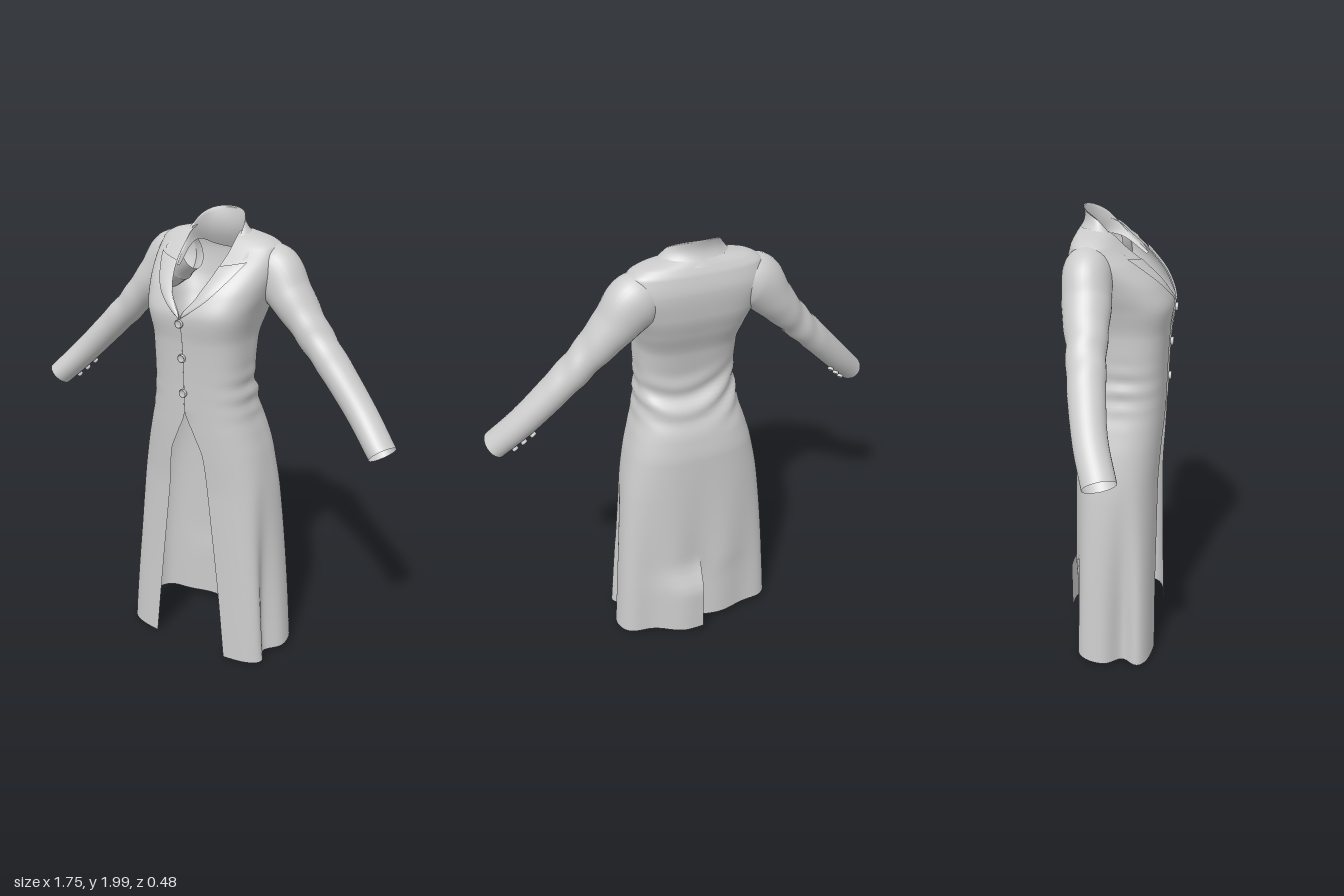
import * as THREE from 'three';
import { mergeVertices } from 'three/addons/utils/BufferGeometryUtils.js';

const cloth = new THREE.MeshStandardMaterial({ color: 0xcccccc, roughness: 0.85, side: THREE.DoubleSide });
const { sin, cos, abs, exp, PI } = Math;
const smooth = THREE.MathUtils.smoothstep;

// Monotone cubic through rows [key, v1, v2, ...]; returns column c at key k.
function sample(rows, c, k) {
  const n = rows.length - 1;
  k = Math.min(Math.max(k, rows[0][0]), rows[n][0]);
  let i = 0;
  while (i < n - 1 && k > rows[i + 1][0]) i++;
  const slope = (j) => (rows[j + 1][c] - rows[j][c]) / (rows[j + 1][0] - rows[j][0]);
  const tangent = (j) => {
    if (j === 0) return slope(0);
    if (j === n) return slope(n - 1);
    const a = slope(j - 1), b = slope(j);
    return a * b <= 0 ? 0 : (2 * a * b) / (a + b);
  };
  const h = rows[i + 1][0] - rows[i][0], t = (k - rows[i][0]) / h, t2 = t * t, t3 = t2 * t;
  return rows[i][c] * (2 * t3 - 3 * t2 + 1) + rows[i + 1][c] * (3 * t2 - 2 * t3)
    + h * (tangent(i) * (t3 - 2 * t2 + t) + tangent(i + 1) * (t3 - t2));
}

// Grid surface from f(u, v) -> [x, y, z], welded where neighbouring points meet.
function sheet(name, nu, nv, f, { flip = false, split = -1 } = {}) {
  const pos = [], idx = [];
  for (let i = 0; i <= nu; i++) for (let j = 0; j <= nv; j++) pos.push(...f(i / nu, j / nv, j));
  for (let i = 0; i < nu; i++) for (let j = 0; j < nv; j++) {
    if (j === split) continue;
    const a = i * (nv + 1) + j, b = a + 1, c = a + nv + 1, d = c + 1;
    if (flip) idx.push(a, c, b, b, c, d);
    else idx.push(a, b, c, b, d, c);
  }
  let g = new THREE.BufferGeometry();
  g.setAttribute('position', new THREE.Float32BufferAttribute(pos, 3));
  g.setIndex(idx);
  g = mergeVertices(g, 1e-4);
  g.computeVertexNormals();
  const mesh = new THREE.Mesh(g, cloth);
  mesh.name = name;
  return mesh;
}

// Body sections: y, half width, z of widest point, front z, back z, squareness, front gap
const BODY = [
  [0.02, 0.388, -0.02, 0.19, -0.18, 0.66, 0.188],
  [0.4, 0.36, -0.02, 0.185, -0.18, 0.68, 0.148],
  [0.8, 0.322, -0.01, 0.185, -0.18, 0.72, 0.102],
  [1.0, 0.285, 0, 0.195, -0.18, 0.74, 0.08],
  [1.1, 0.258, 0.01, 0.2, -0.168, 0.74, 0.04],
  [1.2, 0.23, 0.03, 0.203, -0.14, 0.74, 0.003],
  [1.35, 0.213, 0.04, 0.207, -0.1, 0.72, 0.003],
  [1.5, 0.214, 0.03, 0.215, -0.12, 0.68, 0.003],
  [1.61, 0.235, 0, 0.228, -0.16, 0.62, 0.003],
  [1.7, 0.262, -0.05, 0.195, -0.187, 0.66, 0.06],
  [1.8, 0.282, -0.09, 0.112, -0.197, 0.7, 0.1],
  [1.87, 0.272, -0.09, 0.03, -0.184, 0.74, 0.11],
  [1.9, 0.232, -0.09, 0, -0.17, 0.8, 0.11],
  [1.925, 0.125, -0.09, -0.03, -0.155, 0.9, 0.105],
];
const body = (c, y) => sample(BODY, c, y);

// Depth of the front of the body at (x, y)
function frontZ(x, y) {
  const n = 2 / body(5, y), cz = body(2, y);
  const s = Math.min(1, abs(x) / body(1, y));
  return cz + (body(3, y) - cz) * (1 - s ** n) ** (1 / n);
}

function bodyPoint(u, j, half) {
  const f = u * (BODY.length - 1), i = Math.min(Math.floor(f), BODY.length - 2);
  const y = THREE.MathUtils.lerp(BODY[i][0], BODY[i + 1][0], f - i);
  const w = body(1, y), cz = body(2, y), e = body(5, y);
  const skirt = 1 - smooth(y, 0.1, 1.05);
  const side = j <= half ? 1 : -1;
  const t = side > 0 ? j / half : (2 * half + 1 - j) / half;
  // rounded-square section, squarer at the front of the skirt
  const nFront = 2 / (e - 0.2 * skirt), g = body(6, y) / w;
  const a0 = Math.atan2(g, (1 - g ** nFront) ** (1 / nFront));
  const a = a0 + (PI - a0) * t, c = cos(a);
  const n = c > 0 ? nFront : 2 / e;
  const r = (abs(c) ** n + abs(sin(a)) ** n) ** (-1 / n);
  let x = side * w * sin(a) * r;
  let z = cz + (c > 0 ? body(3, y) - cz : cz - body(4, y)) * c * r;
  // deep flute down each side of the skirt, shallow ones behind
  const back = smooth(-c, 0, 0.6);
  x -= side * 0.06 * skirt * exp(-(((z - 0.06) / 0.05) ** 2)) * smooth(abs(x), 0.24, 0.32);
  z += back * skirt * 0.01 * cos(26 * x);
  // draped folds across the back of the waist and small creases at the sides
  const waist = exp(-(((y - 1.28) / 0.09) ** 2));
  z -= back * waist * 0.011 * sin(52 * (y - 2 * x * x + 0.25 * x));
  x += side * (1 - abs(c)) * waist * 0.006 * sin(75 * y);
  // overlapping front edge
  if (c > 0 && side > 0) z += 0.008 * exp(-((x / 0.03) ** 2)) * smooth(y, 1.15, 1.22);
  // back vent: one panel kicks out, the other tucks under
  const vent = 1 - smooth(y, 0.27, 0.43);
  if (c < 0) {
    const near = exp(-((x / 0.16) ** 2)) * vent;
    if (side > 0) { z -= 0.068 * near; x += 0.008 * near; }
    else { x += 0.045 * near; z += 0.012 * near; }
  }
  // hem dips towards the front
  const hem = 1 - smooth(y, 0.02, 0.3);
  return [x, y + hem * (0.006 - 0.02 * c), z];
}

// Sleeve stations: index, x, y, z, radius in the arm plane, radius in depth
const SLEEVE = [
  [0, 0.16, 1.805, -0.09, 0.08, 0.075],
  [1, 0.25, 1.77, -0.09, 0.114, 0.1],
  [2, 0.33, 1.683, -0.08, 0.092, 0.098],
  [3, 0.455, 1.545, -0.06, 0.07, 0.08],
  [4, 0.59, 1.405, -0.035, 0.064, 0.073],
  [5, 0.715, 1.275, 0, 0.06, 0.067],
  [6, 0.832, 1.156, 0.053, 0.056, 0.066],
];
const arm = new THREE.CatmullRomCurve3(SLEEVE.map((r) => new THREE.Vector3(r[1], r[2], r[3])));

function sleeveFrame(u, a) {
  const t = arm.getTangent(u);
  const up = new THREE.Vector3(0, 0, 1).cross(t).normalize();
  const out = t.clone().cross(up);
  const crease = exp(-(((u - 0.52) / 0.1) ** 2)) * 0.04 * sin(52 * u + 2.5 * sin(a + 0.6));
  const r = sample(SLEEVE, 4, u * 6) * (1 + crease), rz = sample(SLEEVE, 5, u * 6) * (1 + crease);
  const normal = up.clone().multiplyScalar(cos(a)).addScaledVector(out, sin(a));
  const point = arm.getPoint(u).addScaledVector(up, r * cos(a)).addScaledVector(out, rz * sin(a));
  return { point, normal };
}

function button(r, point, normal) {
  const profile = [[0, 0.004], [0.6, 0.004], [0.75, 0.008], [0.95, 0.007], [1, 0], [0.9, -0.006], [0, -0.006]];
  const g = new THREE.LatheGeometry(profile.map(([x, y]) => new THREE.Vector2(x * r, y)).reverse(), 20);
  const m = new THREE.Mesh(g, cloth);
  m.position.copy(point);
  m.quaternion.setFromUnitVectors(new THREE.Vector3(0, 1, 0), normal);
  return m;
}

// Collar lines from the front of the neck round to the centre back
const mirrored = (pts) => new THREE.CatmullRomCurve3(
  [...pts, ...pts.slice(0, -1).reverse().map(([x, y, z]) => [-x, y, z])].map((p) => new THREE.Vector3(...p)));
const collarOuter = mirrored([[0.2, 1.842, 0.045], [0.172, 1.893, -0.025], [0.145, 1.912, -0.1], [0.085, 1.905, -0.155], [0, 1.9, -0.172]]);
const collarFold = mirrored([[0.1, 1.79, 0.105], [0.117, 1.88, 0.005], [0.112, 1.957, -0.07], [0.075, 1.99, -0.125], [0, 2, -0.15]]);
const collarInner = mirrored([[0.095, 1.785, 0.095], [0.105, 1.855, -0.01], [0.112, 1.86, -0.09], [0.075, 1.83, -0.155], [0, 1.82, -0.178]]);

function collarPoint(u, v) {
  const fold = collarFold.getPoint(u);
  const k = abs(2 * v - 1);
  const p = fold.lerp((v < 0.5 ? collarOuter : collarInner).getPoint(u), k);
  // hollow below the rolled edge, and a rounded stand inside the neck
  p.z += (v < 0.5 ? 0.016 : 0.024) * sin(PI * k) * sin(PI * u);
  return p.toArray();
}

// Lapel outer edge: y, x
const LAPEL = [[1.612, 0.006], [1.64, 0.05], [1.69, 0.115], [1.77, 0.18], [1.81, 0.205]];

export function createModel() {
  const coat = new THREE.Group();
  coat.name = 'coat';

  const half = 52;
  coat.add(sheet('body', 130, 2 * half + 1, (u, v, j) => bodyPoint(u, j, half), { split: half }));
  coat.add(sheet('collar', 56, 16, collarPoint));

  for (const s of [1, -1]) {
    const side = s > 0 ? 'left' : 'right';
    coat.add(sheet(`${side}Sleeve`, 60, 32, (u, v) => {
      const { point: p } = sleeveFrame(u, v * 2 * PI);
      return [s * p.x, p.y, p.z];
    }, { flip: s < 0 }));

    // lapel folded back over the chest
    coat.add(sheet(`${side}Lapel`, 24, 10, (u, v) => {
      const y0 = 1.612 + 0.198 * u;
      const inner = body(6, y0), outer = sample(LAPEL, 1, y0);
      const x = THREE.MathUtils.lerp(inner, Math.max(inner, outer), v), y = y0 + 0.02 * u * v;
      return [s * x, y, frontZ(x, y) + 0.003 + 0.008 * sin(PI * (0.1 + 0.7 * v))];
    }, { flip: s < 0 }));

    // cuff buttons on the back seam of the sleeve
    [0.84, 0.89, 0.94].forEach((u) => {
      const { point, normal } = sleeveFrame(u, PI * 1.17);
      point.x *= s;
      normal.x *= s;
      const b = button(0.014, point.addScaledVector(normal, 0.006), normal);
      b.name = `${side}CuffButton`;
      coat.add(b);
    });
  }

  // front buttons
  for (const y of [1.59, 1.44, 1.285]) {
    const b = button(0.018, new THREE.Vector3(0, y, frontZ(0, y) + 0.01), new THREE.Vector3(0, 0, 1));
    b.name = 'frontButton';
    coat.add(b);
  }
  return coat;
}
